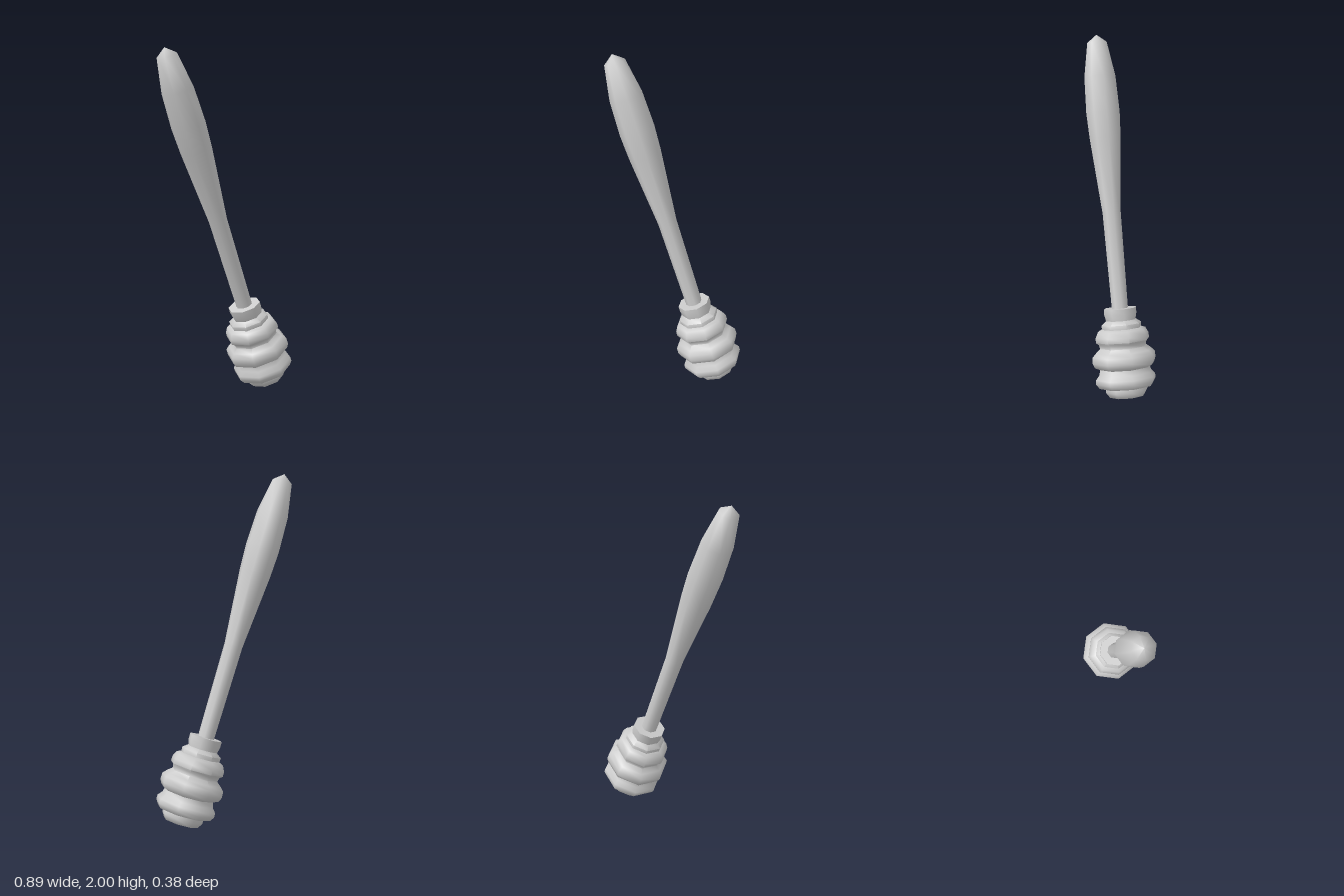
import * as THREE from 'three';
import { toCreasedNormals } from 'three/addons/utils/BufferGeometryUtils.js';

const material = new THREE.MeshStandardMaterial({ color: 0xcccccc });

// Eight-sided turned part from [radius, height] pairs, bottom to top
function turned(name, profile) {
  const points = profile.map(([r, y]) => new THREE.Vector2(r, y));
  const geometry = toCreasedNormals(new THREE.LatheGeometry(points, 8), 1.1);
  const mesh = new THREE.Mesh(geometry, material);
  mesh.name = name;
  return mesh;
}

export function createModel() {
  const dipper = new THREE.Group();
  dipper.name = 'honeyDipper';

  // Ridged head, with a flat base and a flat collar on top
  dipper.add(turned('head', [
    [0, 0], [0.104, 0], [0.124, 0.03], [0.122, 0.052],
    [0.16, 0.058], [0.178, 0.085], [0.177, 0.11], [0.155, 0.135],
    [0.147, 0.165], [0.178, 0.18], [0.188, 0.205], [0.186, 0.24], [0.165, 0.262],
    [0.137, 0.285], [0.142, 0.308], [0.159, 0.322], [0.158, 0.35], [0.142, 0.383],
    [0.116, 0.393], [0.118, 0.418], [0.088, 0.44], [0.096, 0.475],
    [0.096, 0.508], [0, 0.508],
  ]));

  // Long handle, swelling towards a blunt tip
  dipper.add(turned('handle', [
    [0, 0.46], [0.048, 0.46], [0.048, 0.51], [0.054, 1.06],
    [0.092, 1.495], [0.099, 1.64], [0.092, 1.845], [0.058, 2.041], [0, 2.086],
  ]));

  // Lean the whole tool to one side so it rests on the rim of its base
  dipper.rotation.z = 0.346;
  dipper.position.set(0.31, 0.036, 0);

  const model = new THREE.Group();
  model.add(dipper);
  return model;
}
